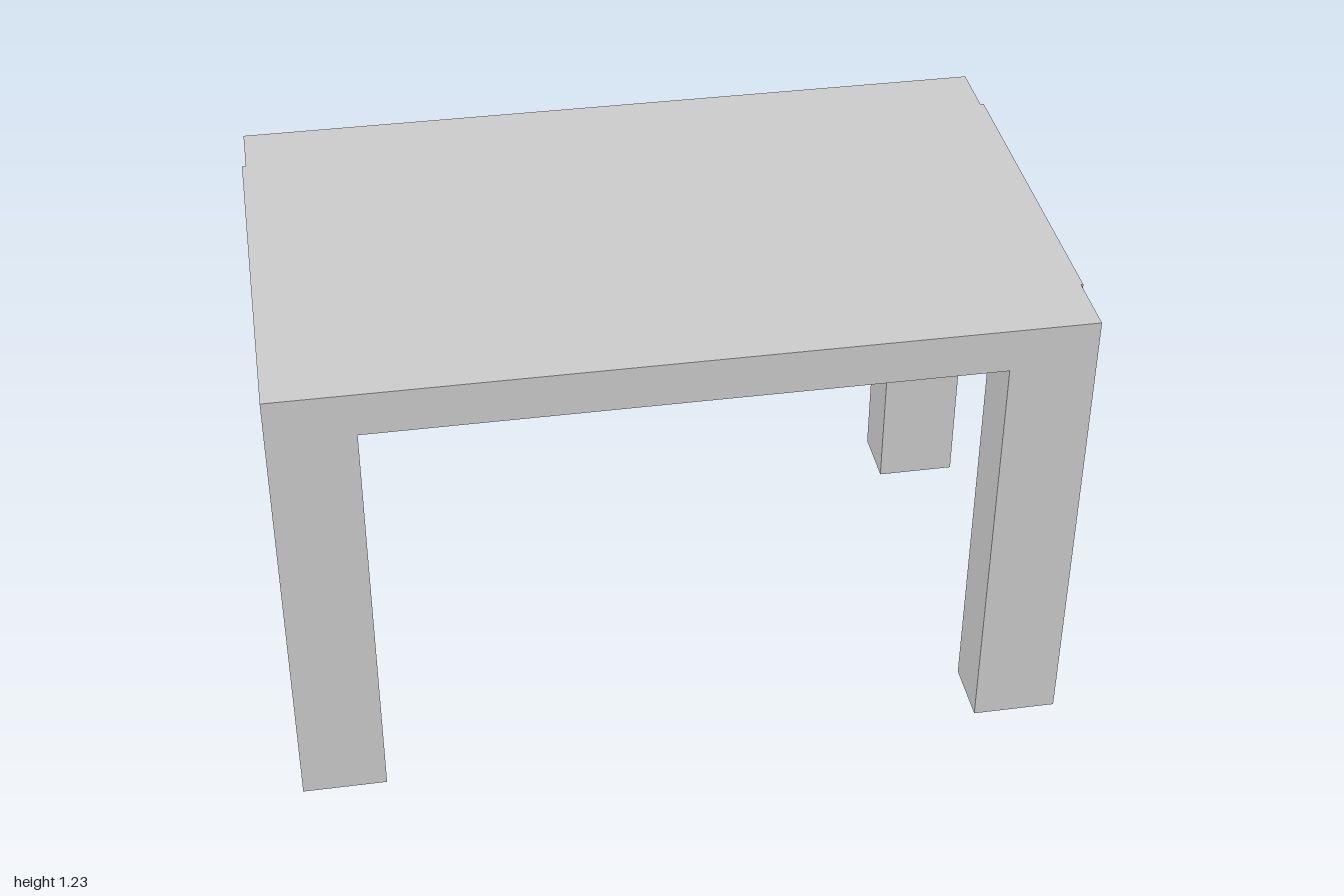
import * as THREE from 'three';

const material = new THREE.MeshStandardMaterial({ color: 0xcccccc, flatShading: true });
const UNDERSIDE = 1.115, TOP = 1.23;

// Box leg standing on the floor, given its x and z extents
function makeLeg(name, x0, x1, z0, z1) {
  const leg = new THREE.Mesh(new THREE.BoxGeometry(x1 - x0, UNDERSIDE, z1 - z0), material);
  leg.position.set((x0 + x1) / 2, UNDERSIDE / 2, (z0 + z1) / 2);
  leg.name = name;
  return leg;
}

export function createModel() {
  const table = new THREE.Group();
  table.name = 'table';

  // Table top: outline in x and z, slightly stepped in at the corners above the legs
  const outline = [
    [-1, 0.612], [0.992, 0.612], [0.992, 0.445], [0.998, 0.445],
    [0.998, -0.455], [0.989, -0.455], [0.989, -0.613],
    [-0.99, -0.613], [-0.99, -0.455], [-1, -0.455],
  ];
  const shape = new THREE.Shape(outline.map(([x, z]) => new THREE.Vector2(x, -z)));
  const topGeometry = new THREE.ExtrudeGeometry(shape, { depth: TOP - UNDERSIDE, bevelEnabled: false });
  topGeometry.rotateX(-Math.PI / 2);
  const top = new THREE.Mesh(topGeometry, material);
  top.position.y = UNDERSIDE;
  top.name = 'tableTop';
  table.add(top);

  // Four square-cut legs
  table.add(
    makeLeg('frontRightLeg', -1, -0.785, 0.445, 0.612),
    makeLeg('frontLeftLeg', 0.775, 0.992, 0.445, 0.612),
    makeLeg('backRightLeg', -0.99, -0.778, -0.608, -0.44),
    makeLeg('backLeftLeg', 0.775, 0.989, -0.608, -0.44),
  );
  return table;
}
